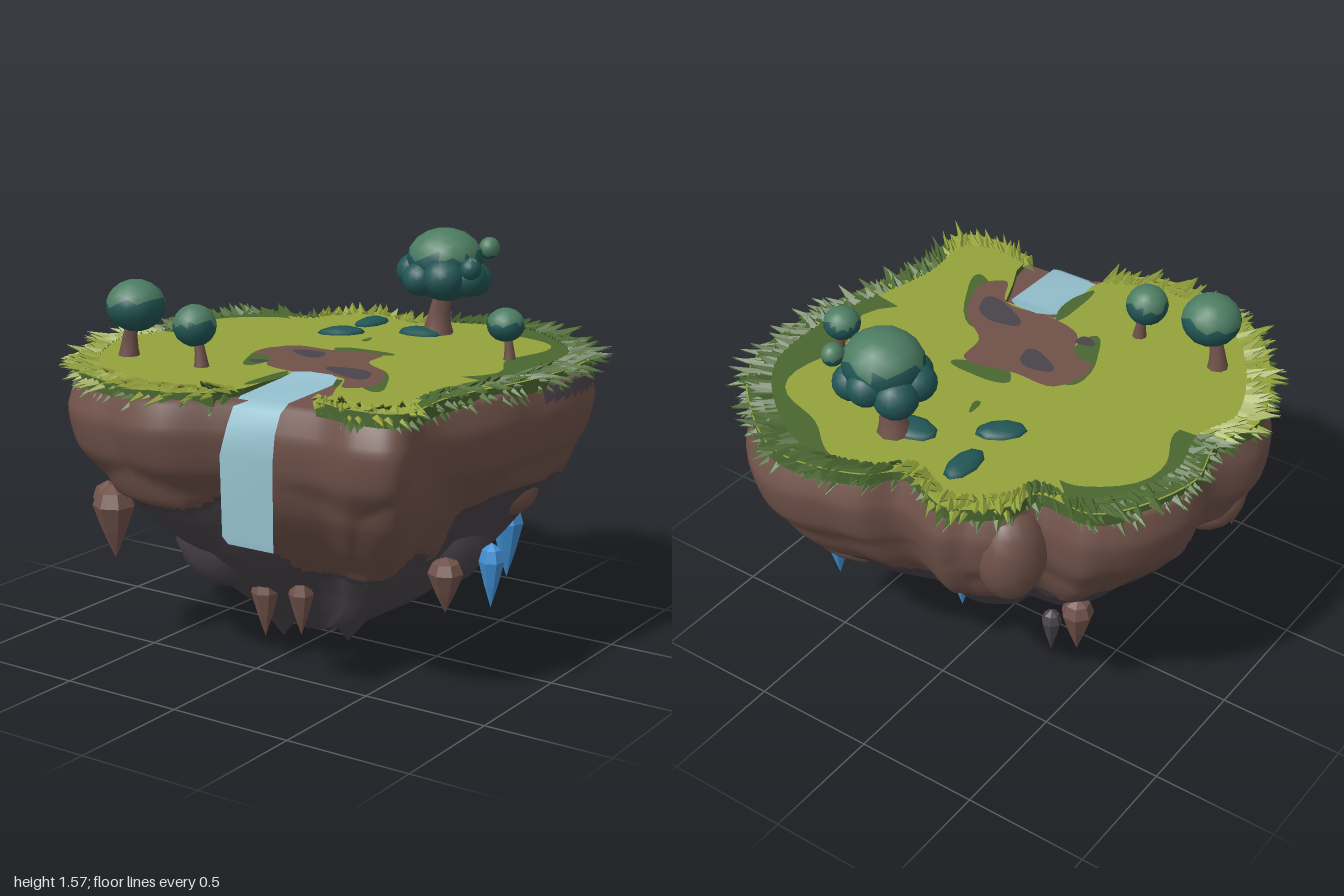
import * as THREE from 'three';

const mat = (name, color, side = THREE.FrontSide) => {
  const m = new THREE.MeshStandardMaterial({ color, side });
  m.name = name;
  return m;
};

let seed = 7;
const rand = (a, b) => {
  seed = (seed * 16807) % 2147483647;
  return a + (b - a) * (seed / 2147483647);
};

// Island rim (x, z), from the right bank of the stream round the back to the left bank
const RIM = [[0.47, 0.78], [0.66, 0.81], [0.83, 0.76], [0.83, 0.45], [0.95, -0.08], [0.92, -0.54],
  [0.66, -0.83], [0.42, -0.95], [0.1, -0.88], [-0.04, -0.77], [-0.28, -0.85], [-0.47, -0.72], [-0.52, -0.59],
  [-0.76, -0.57], [-0.95, -0.2], [-0.9, 0.06], [-0.96, 0.28], [-0.72, 0.75], [-0.46, 0.92], [-0.12, 0.96], [0.1, 0.86]];
const rimCurve = new THREE.CatmullRomCurve3(RIM.map(([x, z]) => new THREE.Vector3(x, 0, z)), true, 'centripetal');
const rimPoints = rimCurve.getPoints(130).slice(0, -1);
const inNotch = p => p.x > 0.1 && p.x < 0.46 && p.z > 0.6;

// Sorts triangles into two material groups by their centre point
function paint(geo, pick) {
  const p = geo.attributes.position, n = geo.index ? geo.index.count : p.count;
  const at = i => (geo.index ? geo.index.getX(i) : i);
  const bins = [[], []], c = new THREE.Vector3(), v = new THREE.Vector3();
  for (let i = 0; i < n; i += 3) {
    const tri = [at(i), at(i + 1), at(i + 2)];
    c.set(0, 0, 0);
    tri.forEach(k => c.add(v.fromBufferAttribute(p, k)));
    bins[pick(c.divideScalar(3)) ? 1 : 0].push(...tri);
  }
  geo.setIndex(bins.flat());
  geo.clearGroups();
  geo.addGroup(0, bins[0].length, 0);
  geo.addGroup(bins[0].length, bins[1].length, 1);
  return geo;
}

// Rock cross-sections: y, scale x, scale z, centre x, centre z
const LAYERS = [[1.12, 0.93, 0.92, 0, 0], [1.0, 0.93, 0.94, 0, 0], [0.85, 0.9, 0.91, 0, 0], [0.7, 0.82, 0.82, 0, 0],
  [0.55, 0.71, 0.7, 0.02, 0], [0.42, 0.59, 0.56, 0.03, 0.01], [0.3, 0.49, 0.42, 0.03, 0.03],
  [0.2, 0.36, 0.27, 0.04, 0.08], [0.12, 0.24, 0.14, 0.02, 0.12], [0.07, 0.05, 0.04, 0.02, 0.14]];

// Lower edge of the brown rock at a given bearing (0 = front, positive towards +x)
function soilLine(a) {
  const wave = 0.035 * Math.sin(a * 7 + 1) + 0.02 * Math.sin(a * 13);
  if (a > 0.03 && a < 1.3) return 0.42 + 0.1 * Math.abs(a - 0.65) + wave;
  if (a >= 1.3 && a < 1.95) return 0.7 + wave;
  return (Math.abs(a) > 1.95 ? 0.6 : 0.7) + wave;
}

// Lofted rock with rounded lumps around scattered centres
function rockGeometry() {
  const N = 180, M = 56, pos = [], idx = [], lumps = [];
  [[0.93, 10], [0.66, 9], [0.36, 7]].forEach(([y, n], r) => {
    for (let i = 0; i < n; i++) lumps.push([((i + 0.5 * r + rand(-0.2, 0.2)) / n) * 2 * Math.PI, y + rand(-0.06, 0.06)]);
  });
  for (let j = 0; j <= M; j++) {
    const f = (j / M) * (LAYERS.length - 1), k = Math.min(Math.floor(f), LAYERS.length - 2);
    const [y, sx, sz, cx, cz] = LAYERS[k].map((v, q) => v + (LAYERS[k + 1][q] - v) * (f - k));
    for (let i = 0; i < N; i++) {
      const p = rimCurve.getPoint(i / N), a = Math.atan2(p.x, p.z);
      let d = 0.34;
      for (const [la, ly] of lumps) {
        const da = Math.abs(((a - la + 9 * Math.PI) % (2 * Math.PI)) - Math.PI) * 0.75;
        d = Math.min(d, Math.hypot(da, (y - ly) * 1.1));
      }
      const s = (1.03 - 0.85 * d * d) * (y > soilLine(a) ? 1.03 : 1);
      pos.push(cx + p.x * sx * s, y, cz + p.z * sz * s);
    }
  }
  for (let j = 0; j < M; j++) for (let i = 0; i < N; i++) {
    const a = j * N + i, b = j * N + (i + 1) % N;
    idx.push(a, a + N, b, b, a + N, b + N);
  }
  const top = pos.length / 3, end = M * N;
  pos.push(0, 1.12, 0, 0.02, 0.06, 0.14);
  for (let i = 0; i < N; i++) idx.push(top, i, (i + 1) % N, top + 1, end + (i + 1) % N, end + i);
  const g = new THREE.BufferGeometry();
  g.setAttribute('position', new THREE.Float32BufferAttribute(pos, 3));
  g.setIndex(idx);
  g.computeVertexNormals();
  return paint(g, c => {
    const a = Math.atan2(c.x, c.z);
    return c.y < soilLine(a) || (c.y > 1.05 && c.y < 1.11 && a > 1.65 && a < 2.1);
  });
}

// Flat ground outlines: plain, splined, wobbly oval, and a band along the rim between two bearings
const outline = pts => new THREE.Shape(pts.map(([x, z]) => new THREE.Vector2(x, -z)));
const flat = pts => new THREE.ShapeGeometry(outline(pts)).rotateX(-Math.PI / 2);
const smooth = pts => new THREE.CatmullRomCurve3(pts.map(([x, z]) => new THREE.Vector3(x, 0, z)), true)
  .getPoints(60).slice(0, -1).map(p => [p.x, p.z]);
const oval = (x, z, rx, rz, turn) => Array.from({ length: 24 }, (_, i) => {
  const a = (i / 24) * 2 * Math.PI, r = 1 + 0.12 * Math.sin(a * 3 + x * 20);
  const u = Math.cos(a) * rx * r, v = Math.sin(a) * rz * r;
  return [x + u * Math.cos(turn) - v * Math.sin(turn), z + u * Math.sin(turn) + v * Math.cos(turn)];
});
const band = (from, to, inner) => {
  const arc = rimPoints.map(p => [p.x, p.z, Math.atan2(p.x, p.z)]).filter(p => p[2] > from && p[2] < to);
  return [...arc.map(([x, z]) => [x * 0.945, z * 0.945]), ...arc.reverse().map(([x, z, a]) => [x * inner(a), z * inner(a)])];
};

const isDark = (x, z) => (x > 0.72 && z < 0.62) || (x > 0 && z < -0.5) || (x < -0.5 && z < 0.08 && z > -0.62);

export function createModel() {
  const root = new THREE.Group();
  root.name = 'floatingIsland';
  const lime = mat('limeGrass', 0x95a33c, THREE.DoubleSide), green = mat('darkGrass', 0x4a6630, THREE.DoubleSide);
  const brown = mat('brownRock', 0x70524a), charcoal = mat('charcoalRock', 0x4a444b);
  const water = mat('water', 0x93bfcd, THREE.DoubleSide), blue = mat('crystalBlue', 0x3f90d6);
  const leafTop = mat('leafLight', 0x4c7c62), leafLow = mat('leafDark', 0x215655);
  const add = (name, geo, m, x = 0, y = 0, z = 0, parent = root) => {
    const mesh = new THREE.Mesh(geo, m);
    mesh.name = name;
    mesh.position.set(x, y, z);
    parent.add(mesh);
  };

  // Rock body with two points underneath
  add('rockBody', rockGeometry(), [brown, charcoal]);
  for (const [x, y, r, h] of [[-0.13, 0, 0.21, 0.27], [0.18, 0.04, 0.18, 0.22]])
    add('bottomPoint', new THREE.ConeGeometry(r, h, 9).rotateX(Math.PI), charcoal, x, y + h / 2, 0.14);

  // Boulders: centre, radii, colour
  for (const [x, y, z, a, b, c, m] of [[-0.72, 0.68, 0.3, 0.12, 0.1, 0.16, brown], [0.7, 0.67, -0.2, 0.1, 0.11, 0.12, brown],
    [0.4, 0.57, -0.52, 0.22, 0.12, 0.15, brown], [-0.42, 0.9, -0.62, 0.13, 0.2, 0.14, brown],
    [-0.24, 0.87, 0.72, 0.17, 0.2, 0.16, brown], [-0.2, 0.52, 0.42, 0.22, 0.24, 0.17, charcoal],
    [0.5, 0.5, -0.08, 0.16, 0.22, 0.18, charcoal]]) add('boulder', new THREE.SphereGeometry(1, 14, 10).scale(a, b, c), m, x, y, z);

  // Hanging spikes and crystals: x, tip y, z, radius, height
  const drop = (name, [x, y, z, r, h], m) => {
    const prof = [[0, 0], [r * 0.55, h * 0.36], [r, h * 0.72], [r * 0.75, h * 0.9], [0, h]];
    const g = new THREE.LatheGeometry(prof.map(p => new THREE.Vector2(...p)), 7).toNonIndexed();
    g.computeVertexNormals();
    add(name, g, m, x, y, z);
  };
  for (const s of [[-0.7, 0.4, 0.52, 0.06, 0.24], [-0.6, 0.36, 0.6, 0.085, 0.3], [-0.45, 0.15, -0.22, 0.065, 0.26],
    [-0.02, 0.1, 0.41, 0.055, 0.25], [0.12, 0.12, 0.37, 0.05, 0.23], [0.6, 0.23, 0.11, 0.07, 0.22]]) drop('rockSpike', s, brown);
  for (const s of [[-0.37, 0.15, -0.28, 0.04, 0.2], [0.2, 0.2, -0.26, 0.05, 0.2]]) drop('darkSpike', s, charcoal);
  for (const s of [[0.7, 0.22, -0.06, 0.05, 0.26], [0.55, 0.21, -0.45, 0.065, 0.32], [0, 0.25, -0.36, 0.045, 0.22]])
    drop('crystal', s, blue);

  // Grass slab with a notch for the stream
  const slab = rimPoints.filter(p => !inNotch(p)).map(p => [p.x * 0.95, p.z * 0.95]);
  slab.push([0.11, 0.7], [0.1, 0.41], [0.33, 0.4], [0.38, 0.52], [0.43, 0.62]);
  const slabGeo = new THREE.ExtrudeGeometry(outline(slab), { depth: 0.05, bevelEnabled: false }).rotateX(-Math.PI / 2);
  add('grassSlab', slabGeo, [lime, green], 0, 1.097, 0);

  // Painted ground: dark rim bands, dark spots, soil path and stones
  add('darkRimRight', flat(band(1.38, 3.12, a => 0.73 + 0.05 * Math.sin(a * 9) + 0.12 * Math.max(0, a - 2))), green, 0, 1.15, 0);
  add('darkRimFront', flat(band(0.85, 1.38, a => 0.9 + 0.02 * Math.sin(a * 20))), green, 0, 1.15, 0);
  add('darkRimLeft', flat(band(-2.3, -1.48, a => 0.8 + 0.03 * Math.sin(a * 9))), green, 0, 1.15, 0);
  for (const o of [[0.11, -0.05, 0.13, 0.05, -0.1], [-0.15, 0.2, 0.07, 0.18, -0.2], [0.4, 0.33, 0.2, 0.07, 0.9],
    [0.09, 0.53, 0.03, 0.13, 0], [0, -0.26, 0.014, 0.04, -0.2]]) add('darkGrassPatch', flat(oval(...o)), green, 0, 1.15, 0);
  const path = [[-0.17, 0.01], [0, 0], [0.22, -0.03], [0.25, 0.11], [0.4, 0.23], [0.48, 0.45], [0.41, 0.52], [0.32, 0.39],
    [0.11, 0.4], [-0.04, 0.36], [-0.11, 0.24], [-0.22, 0.2]];
  add('soilPath', flat(smooth(path)), brown, 0, 1.153, 0);
  for (const o of [[-0.02, 0.11, 0.085, 0.05, 0.4], [0.3, 0.31, 0.12, 0.06, 0.4], [-0.1, 0.33, 0.04, 0.03, 0]])
    add('pathStone', flat(oval(...o)), charcoal, 0, 1.156, 0);

  // Grass blades round the rim: ridged triangles pointing outwards, dark underneath
  const blades = { lime: [], green: [] };
  const rings = [[0.9, 1.03, 1.1, 1.18, 1.148, false], [0.86, 0.97, 1.15, 1.19, 1.148, false], [0.91, 1.0, 1.06, 1.12, 1.13, true]];
  for (const [inner, outer, yLow, yHigh, yBase, under] of rings) for (let i = 0; i < 230; i++) {
    const u = (i + rand(0, 0.8)) / 230, p = rimCurve.getPointAt(u), t = rimCurve.getTangentAt(u);
    if (inNotch(p)) continue;
    const w = rand(0.018, 0.034), k = rand(outer - 0.06, outer), s = rand(-0.03, 0.03);
    const L = [p.x * inner - t.x * w, yBase - 0.012, p.z * inner - t.z * w], R = [p.x * inner + t.x * w, yBase - 0.012, p.z * inner + t.z * w];
    const T = [p.x * inner, yBase + 0.012, p.z * inner], tip = [p.x * k + t.x * s, rand(yLow, yHigh), p.z * k + t.z * s];
    blades[under || isDark(p.x, p.z) ? 'green' : 'lime'].push(...L, ...tip, ...T, ...T, ...tip, ...R);
    blades.green.push(...L, ...R, tip[0], tip[1] - 0.006, tip[2]);
  }
  for (const [key, m] of [['lime', lime], ['green', green]]) {
    const g = new THREE.BufferGeometry();
    g.setAttribute('position', new THREE.Float32BufferAttribute(blades[key], 3));
    g.computeVertexNormals();
    add(key + 'Blades', g, m);
  }

  // Stream and waterfall ribbon: z, y, left x, right x
  const flow = [[0.385, 1.158, 0.17, 0.27], [0.41, 1.156, 0.12, 0.31], [0.46, 1.14, 0.1, 0.325], [0.74, 1.128, 0.12, 0.33],
    [0.79, 1.1, 0.125, 0.33], [0.825, 1.03, 0.12, 0.33], [0.84, 0.93, 0.1, 0.33], [0.838, 0.63, 0.105, 0.33], [0.836, 0.605, 0.13, 0.33]];
  const ribbon = new THREE.PlaneGeometry(1, 1, 1, flow.length - 1);
  flow.forEach(([z, y, a, b], i) => {
    ribbon.attributes.position.setXYZ(2 * i, a, y, z);
    ribbon.attributes.position.setXYZ(2 * i + 1, b, y, z);
  });
  ribbon.computeVertexNormals();
  add('waterfall', ribbon, water);

  // Low shrubs
  for (const [x, z, a, b, turn] of [[-0.18, -0.57, 0.055, 0.105, 0], [-0.17, -0.33, 0.06, 0.1, -0.85], [0.1, -0.5, 0.1, 0.07, 0]])
    add('lowShrub', new THREE.SphereGeometry(1, 9, 6).scale(a, 0.03, b).rotateY(turn), leafLow, x, 1.145, z);

  // Trees: leaf balls are lighter above a height
  const ball = (tree, x, y, z, rx, ry, rz, split) => {
    const g = new THREE.IcosahedronGeometry(1, 2).scale(rx, ry, rz);
    add('leaves', paint(g, c => c.y + y + 0.012 * Math.sin(c.x * 40 + c.z * 30) < split), [leafTop, leafLow], x, y, z, tree);
  };
  const trunk = (tree, x, z, r, h, lean) => {
    const g = new THREE.CylinderGeometry(r * 0.75, r, h, 8, 5), p = g.attributes.position;
    for (let i = 0; i < p.count; i++) {
      const t = p.getY(i) / h + 0.5, flare = 1 + 0.6 * (1 - t) ** 3;
      p.setXYZ(i, p.getX(i) * flare + lean * t * t, p.getY(i), p.getZ(i) * flare);
    }
    g.computeVertexNormals();
    add('trunk', g, brown, x, 1.13 + h / 2, z, tree);
  };
  const newTree = name => {
    const tree = new THREE.Group();
    tree.name = name;
    root.add(tree);
    return tree;
  };
  for (const [x, y, z, r, ry, lean] of [[-0.56, 1.345, 0.49, 0.115, 0.1, 0.04], [-0.27, 1.3, 0.5, 0.083, 0.08, -0.03], [0.63, 1.28, -0.255, 0.073, 0.065, -0.02]]) {
    const tree = newTree('smallTree');
    trunk(tree, x - lean, z, r * 0.25, y - 1.13, lean);
    ball(tree, x, y, z, r, ry, r, y + ry * 0.2);
  }
  const big = newTree('bigTree');
  trunk(big, 0.15, -0.55, 0.045, 0.25, 0.05);
  ball(big, 0.17, 1.45, -0.57, 0.155, 0.125, 0.15, 1.475);
  ball(big, 0.18, 1.34, -0.56, 0.09, 0.06, 0.1, 1.475);
  for (let i = 0; i < 7; i++) {
    const a = (i / 7) * 2 * Math.PI + 0.2, r = 0.078 + 0.007 * Math.sin(i * 2);
    ball(big, 0.17 + 0.125 * Math.cos(a), 1.385 + 0.025 * Math.sin(i * 3), -0.565 + 0.11 * Math.sin(a), r, r * 0.95, r, 1.475);
  }
  for (const [x, y, z] of [[0.31, 1.49, -0.68], [0.33, 1.43, -0.5]]) ball(big, x, y, z, 0.042, 0.045, 0.045, 1.475);

  return root;
}
